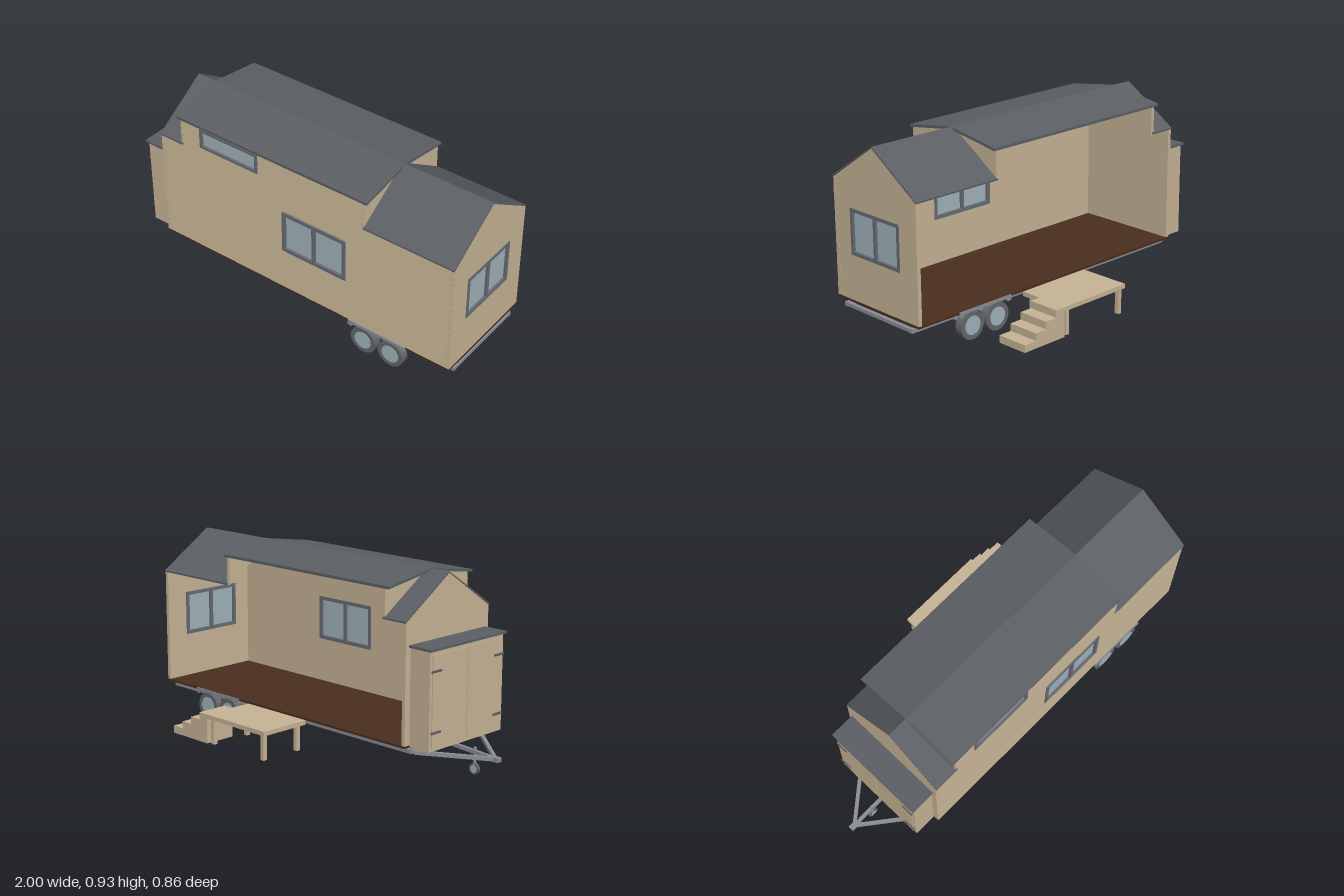
import * as THREE from 'three';

const mat = (name, color) => Object.assign(new THREE.MeshStandardMaterial({ color }), { name });
const MID = 0.135; // z of the centre line of the house

export function createModel() {
  const wood = mat('tan wood', 0xc8b597);
  const roofGrey = mat('roof grey', 0x5c6064);
  const frameGrey = mat('window frame grey', 0x676c75);
  const glass = mat('glass', 0xa2b4bc);
  const brown = mat('floor brown', 0x4a2e1d);
  const metal = mat('chassis metal', 0x8b8e95);
  const rubber = mat('tyre grey', 0x64676b);
  const model = new THREE.Group();
  model.name = 'tinyHouseTrailer';

  const add = (name, geo, m, parent = model) => {
    const mesh = new THREE.Mesh(geo, m);
    mesh.name = name;
    parent.add(mesh);
    return mesh;
  };
  // Box given by its minimum and maximum on each axis
  const box = (name, m, x0, x1, y0, y1, z0, z1, parent) => {
    const mesh = add(name, new THREE.BoxGeometry(x1 - x0, y1 - y0, z1 - z0), m, parent);
    mesh.position.set((x0 + x1) / 2, (y0 + y1) / 2, (z0 + z1) / 2);
    return mesh;
  };
  const rect = (a, b, c, d) => [[a, c], [b, c], [b, d], [a, d]];
  const plate = (pts, depth, holes = []) => {
    const v = (p) => p.map(([a, b]) => new THREE.Vector2(a, b));
    const s = new THREE.Shape(v(pts));
    holes.forEach((h) => s.holes.push(new THREE.Path(v(h))));
    return new THREE.ExtrudeGeometry(s, { depth, bevelEnabled: false, curveSegments: 1 });
  };
  // (x, y) outline extruded along +z
  const prismZ = (name, m, pts, z0, z1, holes) =>
    add(name, plate(pts, z1 - z0, holes).translate(0, 0, z0), m);
  // (z, y) outline extruded along +x
  const prismX = (name, m, pts, x0, x1, holes = [], parent = model) => {
    const flip = (p) => p.map(([z, y]) => [-z, y]);
    const g = plate(flip(pts), x1 - x0, holes.map(flip)).rotateY(Math.PI / 2);
    return add(name, g.translate(x0, 0, 0), m, parent);
  };
  // Square bar between two points
  const bar = (name, a, b, w, h) => {
    const p = new THREE.Vector3(...a), q = new THREE.Vector3(...b);
    const mesh = add(name, new THREE.BoxGeometry(w, h, p.distanceTo(q)), metal);
    mesh.position.copy(p).lerp(q, 0.5);
    mesh.lookAt(q);
    return mesh;
  };
  const mirrorZ = (z) => 2 * MID - z;

  // Floor
  box('floor', brown, -0.68, 1, 0.145, 0.156, -0.152, 0.42);

  // Walls with window openings
  const bigWin = [0.055, 0.42, 0.38, 0.605];
  const smallWin = [-0.43, -0.085, 0.76, 0.865];
  const endWin = [-0.035, 0.305, 0.38, 0.605];
  const opening = ([a, b, c, d]) => rect(a + 0.01, b - 0.01, c + 0.01, d - 0.01);
  prismZ('frontWall', wood, [[-0.68, 0.156], [1, 0.156], [1, 0.727], [0.52, 0.727],
    [0.52, 0.868], [-0.55, 0.868], [-0.55, 0.727], [-0.68, 0.727]],
  0.398, 0.418, [opening(bigWin), opening(smallWin)]);
  const gable = [[-0.152, 0.156], [0.42, 0.156], [0.42, 0.727], [MID, 0.918], [-0.152, 0.727]];
  prismX('leftGableWall', wood, gable, 0.98, 0.999, [opening(endWin)]);
  prismX('rightGableWall', wood, gable, -0.68, -0.661);

  // Lapped siding, interrupted at the windows
  const siding = new THREE.Group();
  siding.name = 'siding';
  model.add(siding);
  const rowH = 0.0355;
  for (let i = 0; i < 20; i++) {
    const y = 0.156 + i * rowH;
    let [start, end] = i < 16 ? [-0.68, 0.999] : [-0.55, 0.52];
    const runs = [];
    for (const [a, b, c, d] of [smallWin, bigWin]) {
      if (y + rowH > c && y < d) {
        runs.push([start, a + 0.005]);
        start = b - 0.005;
      }
    }
    runs.push([start, end]);
    runs.forEach(([x0, x1]) => prismX('sidingBoard', wood,
      [[0.4179, y], [0.4215, y], [0.4185, y + rowH], [0.4179, y + rowH]], x0, x1, [], siding));
  }

  // Roofs: two slopes from the ridge to the eaves
  const roof = (name, x0, x1, eave, t) => prismX(name, roofGrey, [
    [0.425, eave], [MID, 0.925], [mirrorZ(0.425), eave],
    [mirrorZ(0.425), eave - t], [MID, 0.925 - t], [0.425, eave - t]], x0, x1);
  roof('mainRoofLeft', 0.515, 1, 0.735, 0.008);
  roof('mainRoofRight', -0.68, -0.54, 0.735, 0.008);
  roof('dormerRoof', -0.575, 0.535, 0.88, 0.013);
  // Dormer cheeks fill the gap between the two roof pitches
  for (const x of [-0.55, 0.502]) {
    for (const f of [(z) => z, mirrorZ]) {
      prismX('dormerCheek', wood, [[f(0.42), 0.727], [f(0.42), 0.868], [MID, 0.915]], x, x + 0.018);
    }
  }

  // Windows, built facing +z around their own centre
  const addWindow = (name, [a, b, c, d], split, f) => {
    const g = new THREE.Group();
    g.name = name;
    const w = (b - a) / 2, h = (d - c) / 2;
    const holes = split
      ? [rect(-w + f, -f / 2, -h + f, h - f), rect(f / 2, w - f, -h + f, h - f)]
      : [rect(-w + f, w - f, -h + f, h - f)];
    add('windowFrame', plate(rect(-w, w, -h, h), 0.03, holes).translate(0, 0, -0.024), frameGrey, g);
    box('windowGlass', glass, -w + f / 2, w - f / 2, -h + f / 2, h - f / 2, -0.012, -0.006, g);
    g.position.set((a + b) / 2, (c + d) / 2, 0);
    model.add(g);
    return g;
  };
  addWindow('frontWindow', bigWin, true, 0.018).position.z = 0.42;
  addWindow('loftWindow', smallWin, false, 0.014).position.z = 0.42;
  const side = addWindow('endWindow', endWin, true, 0.017);
  side.rotation.y = Math.PI / 2;
  side.position.set(0.996, side.position.y, MID);

  // Storage locker with double doors and strap hinges
  box('locker', wood, -0.797, -0.68, 0.147, 0.614, -0.12, 0.39);
  box('lockerRoof', roofGrey, -0.81, -0.68, 0.614, 0.625, -0.13, 0.4);
  for (const s of [-1, 1]) {
    const span = (p, q) => [MID + s * p, MID + s * q].sort((m, n) => m - n);
    box('lockerDoor', wood, -0.802, -0.796, 0.165, 0.595, ...span(0.002, 0.24));
    for (const y of [0.235, 0.52]) {
      box('doorHinge', roofGrey, -0.808, -0.801, y - 0.005, y + 0.005, ...span(0.185, 0.25));
    }
  }

  // Trailer chassis
  for (const z of [0.365, mirrorZ(0.365)]) {
    box('chassisRail', metal, -0.68, 1, 0.11, 0.13, z - 0.01, z + 0.01);
    bar('drawbarArm', [-0.69, 0.12, z], [-0.975, 0.1, MID], 0.018, 0.018);
  }
  for (let i = 0; i < 9; i++) {
    const x = -0.67 + i * 0.2075;
    box('crossMember', metal, x - 0.01, x + 0.01, 0.112, 0.129, mirrorZ(0.375), 0.375);
  }
  bar('drawbarCentre', [-0.67, 0.12, MID], [-0.98, 0.1, MID], 0.016, 0.018);
  box('hitchCoupler', metal, -1, -0.965, 0.09, 0.111, MID - 0.014, MID + 0.014);

  // Wheels, axles and fenders
  const wheel = (name, x, y, z, r, w) => {
    const g = new THREE.Group();
    g.name = name;
    const cyl = (n, rad, len, m) => add(n, new THREE.CylinderGeometry(rad, rad, len, 28).rotateX(Math.PI / 2), m, g);
    cyl('tyre', r, w, rubber);
    cyl('hub', r * 0.66, w + 0.004, glass);
    g.position.set(x, y, z);
    model.add(g);
  };
  for (const x of [0.525, 0.68]) {
    wheel('wheel', x, 0.07, 0.402, 0.07, 0.04);
    wheel('wheel', x, 0.07, mirrorZ(0.402), 0.07, 0.04);
    const axle = add('axle', new THREE.CylinderGeometry(0.01, 0.01, 0.52, 12).rotateX(Math.PI / 2), metal);
    axle.position.set(x, 0.07, MID);
  }
  const fender = [[0.44, 0.13], [0.46, 0.125], [0.475, 0.14], [0.73, 0.14],
    [0.745, 0.125], [0.76, 0.13], [0.76, 0.155], [0.44, 0.155]];
  prismZ('fender', metal, fender, 0.412, 0.427);
  prismZ('fender', metal, fender, mirrorZ(0.427), mirrorZ(0.412));

  // Jockey wheel on the drawbar
  const post = add('jackPost', new THREE.CylinderGeometry(0.008, 0.008, 0.1, 12), metal);
  post.position.set(-0.855, 0.08, MID);
  wheel('jockeyWheel', -0.855, 0.027, MID, 0.027, 0.014);

  // Porch deck on four legs
  box('deck', wood, -0.045, 0.365, 0.126, 0.148, -0.43, -0.158);
  for (const x of [-0.03, 0.326]) {
    for (const z of [-0.205, -0.42]) {
      box('deckLeg', wood, x, x + 0.021, 0, 0.127, z, z + 0.022);
    }
  }
  // Steps going down toward the left end
  const step = 0.037;
  prismZ('steps', wood, [[0.365, 0], [0.62, 0], [0.62, step], [0.55, step], [0.55, 2 * step],
    [0.485, 2 * step], [0.485, 3 * step], [0.42, 3 * step], [0.42, 4 * step], [0.365, 4 * step]],
  -0.43, -0.265);

  return model;
}
